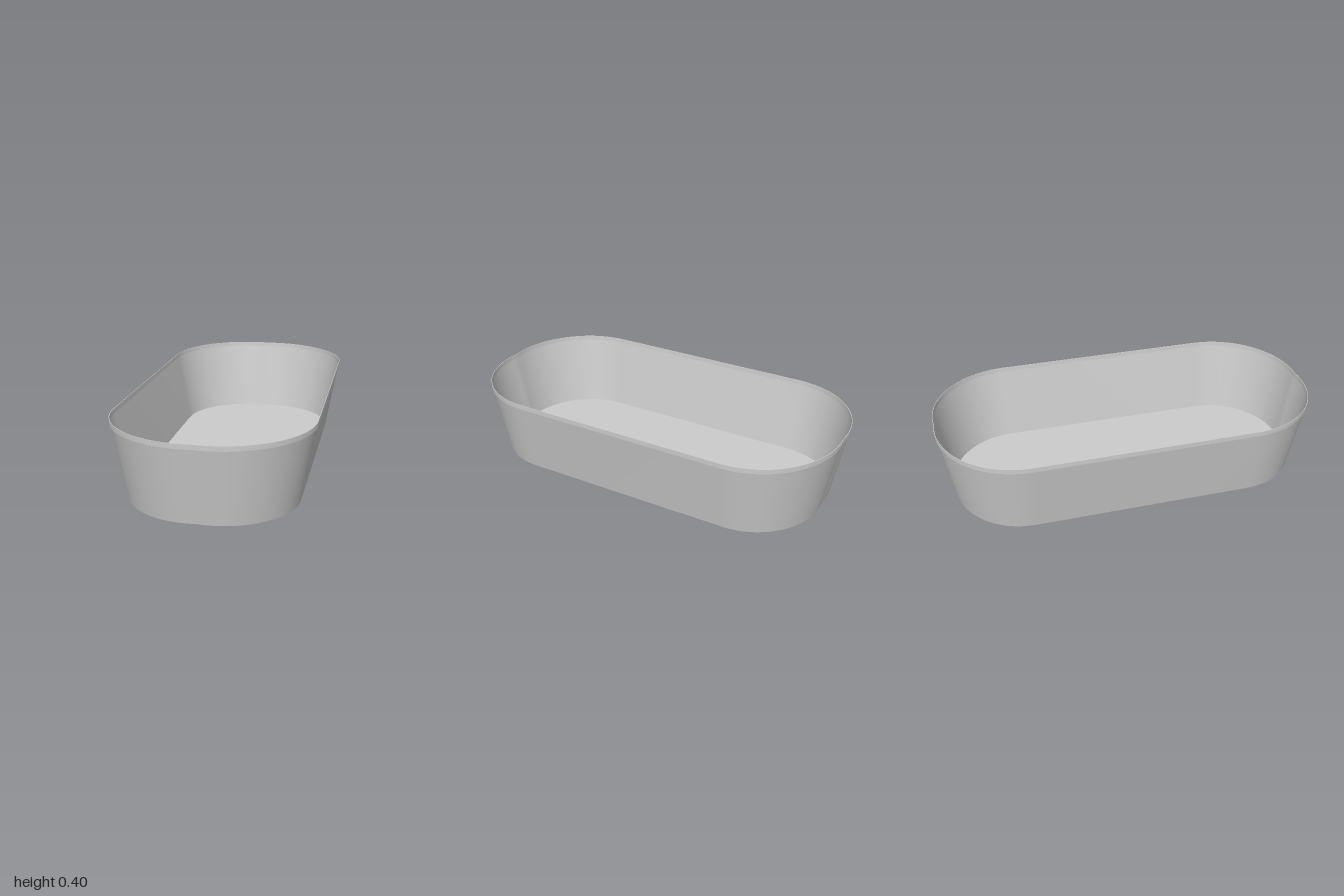
import * as THREE from 'three';
import { toCreasedNormals } from 'three/addons/utils/BufferGeometryUtils.js';

const material = new THREE.MeshStandardMaterial({ color: 0xcccccc, side: THREE.DoubleSide });

// Rounded oblong outline [x, z], grown outward by d; the end arcs meet in a slight notch at x = 0
function outline(d, steps = 24) {
  const cx = 0.05, cz = 0.57, rx = 0.375 + d, rz = 0.358 + d;
  const end = Math.acos(-cx / rx);
  const quarter = [];
  for (let i = 0; i <= steps; i++) {
    const a = (end * i) / steps;
    quarter.push([cx + rx * Math.cos(a), cz + rz * Math.sin(a)]);
  }
  quarter[steps][0] = 0;
  const mirrored = quarter.slice(0, -1).reverse().map(([x, z]) => [-x, z]);
  const half = [...quarter, ...mirrored];
  return [...half, ...half.map(([x, z]) => [-x, -z])];
}

// Skin a profile of [growth, height] pairs around the outline
function loft(profile) {
  const rings = profile.map(([d]) => outline(d));
  const n = rings[0].length;
  const positions = [], index = [];
  rings.forEach((ring, r) => ring.forEach(([x, z]) => positions.push(x, profile[r][1], z)));
  for (let r = 0; r < rings.length - 1; r++) {
    for (let i = 0; i < n; i++) {
      const a = r * n + i, b = r * n + ((i + 1) % n);
      index.push(a, a + n, b, b, a + n, b + n);
    }
  }
  const geometry = new THREE.BufferGeometry();
  geometry.setAttribute('position', new THREE.Float32BufferAttribute(positions, 3));
  geometry.setIndex(index);
  return toCreasedNormals(geometry, 0.2);
}

export function createModel() {
  const group = new THREE.Group();
  group.name = 'tray';
  const add = (name, geometry) => {
    const mesh = new THREE.Mesh(geometry, material);
    mesh.name = name;
    group.add(mesh);
  };

  // Flat floor
  const shape = new THREE.Shape(outline(0).map(([x, z]) => new THREE.Vector2(x, -z)));
  add('floor', new THREE.ShapeGeometry(shape).rotateX(-Math.PI / 2));

  // Thin flared wall
  add('wall', loft([[0, 0], [0.067, 0.38]]));

  // Narrow upright lip
  add('rim', loft([[0.067, 0.38], [0.072, 0.38], [0.072, 0.404], [0.069, 0.404], [0.067, 0.38]]));

  return group;
}
